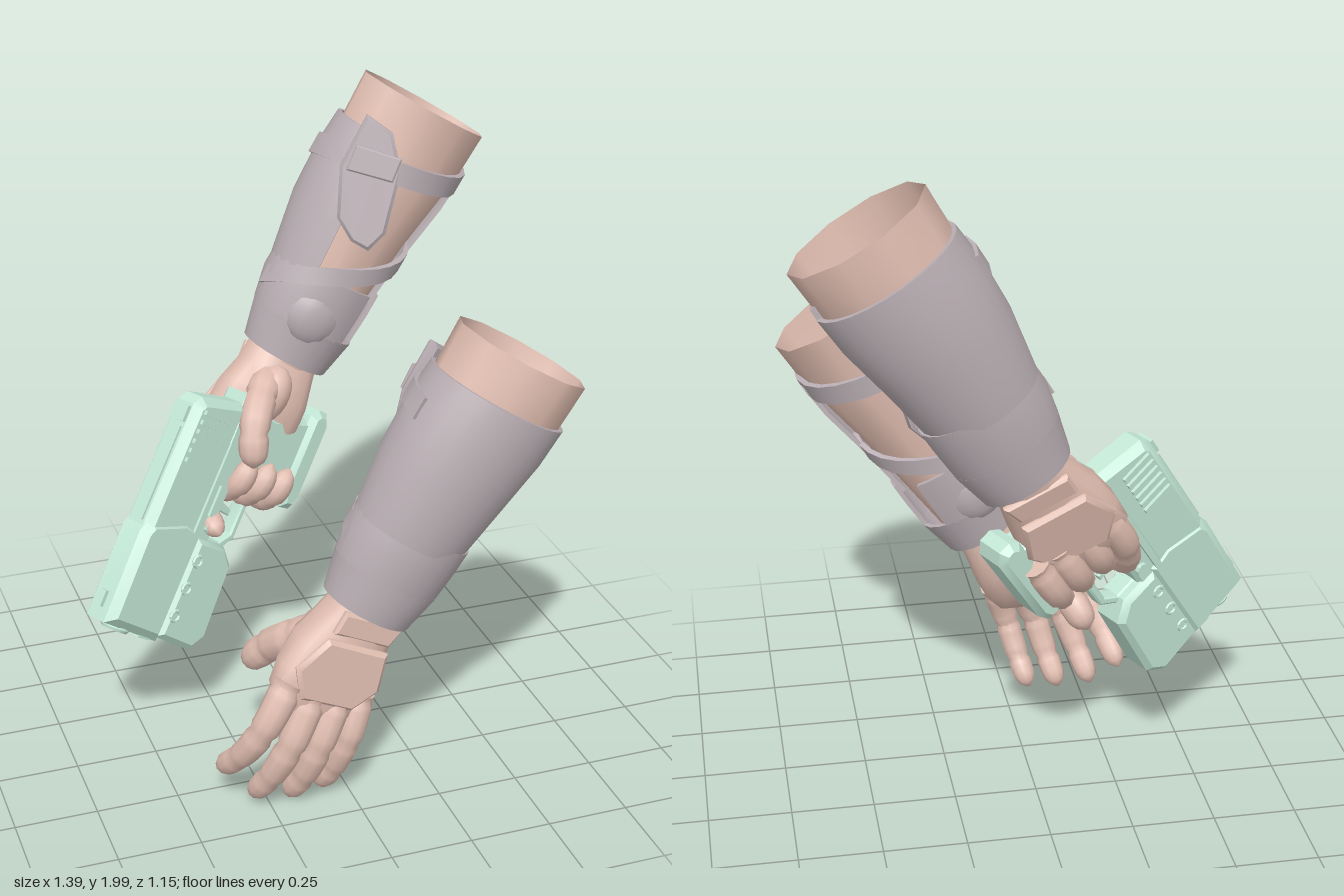
import * as THREE from 'three';
import { toCreasedNormals } from 'three/addons/utils/BufferGeometryUtils.js';

const V = (x, y, z) => new THREE.Vector3(x, y, z);
const TILT = -0.547; // both arms lean the same way
const DEG = Math.PI / 180;

// Unindex, optionally mirror in z, orient outwards, and keep hard edges sharp
function finish(source, side = 1, crease = 0.7) {
  const geo = source.index ? source.toNonIndexed() : source;
  geo.deleteAttribute('uv');
  geo.deleteAttribute('normal');
  geo.clearGroups();
  geo.scale(1, 1, side);
  const p = geo.attributes.position;
  const a = V(), b = V(), c = V();
  let volume = 0;
  for (let i = 0; i < p.count; i += 3) {
    a.fromBufferAttribute(p, i); b.fromBufferAttribute(p, i + 1); c.fromBufferAttribute(p, i + 2);
    volume += a.dot(b.cross(c));
  }
  if (volume < 0) for (let i = 0; i < p.count; i += 3) {
    b.fromBufferAttribute(p, i + 1); c.fromBufferAttribute(p, i + 2);
    p.setXYZ(i + 1, c.x, c.y, c.z);
    p.setXYZ(i + 2, b.x, b.y, b.z);
  }
  return toCreasedNormals(geo, crease);
}

// Skin closed loops of points; the ends are closed by strips from side to side
function loft(rings, capStart = true, capEnd = true) {
  const n = rings[0].length, pos = [], idx = [];
  rings.forEach(r => r.forEach(v => pos.push(v.x, v.y, v.z)));
  for (let i = 0; i < rings.length - 1; i++) for (let j = 0; j < n; j++) {
    const a = i * n + j, b = i * n + (j + 1) % n;
    idx.push(a, b, a + n, b, b + n, a + n);
  }
  const cap = (row, flip) => {
    for (let j = 0; j < n / 2 - 1; j++) {
      const [a, b, c, d] = [j, j + 1, n - 2 - j, n - 1 - j].map(k => row * n + k);
      flip ? idx.push(a, c, b, a, d, c) : idx.push(a, b, c, a, c, d);
    }
  };
  if (capStart) cap(0, true);
  if (capEnd) cap(rings.length - 1, false);
  const geo = new THREE.BufferGeometry();
  geo.setAttribute('position', new THREE.Float32BufferAttribute(pos, 3));
  geo.setIndex(idx);
  return geo;
}

// Arm section [t, cu, cw, ru, rw]: t runs down the arm, angle 0 faces outwards
function onSection([t, cu, cw, ru, rw], angle, grow = 0, power = 1) {
  const f = v => Math.sign(v) * Math.abs(v) ** power;
  return V(cu + (ru + grow) * f(Math.sin(angle)), -t, cw + (rw + grow) * f(Math.cos(angle)));
}
const sleeve = (sections, n, power, capStart, capEnd) => loft(sections.map(s =>
  Array.from({ length: n }, (_, i) => onSection(s, (i + 0.5) / n * Math.PI * 2, 0, power))), capStart, capEnd);

// Thick plate bent around the arm between two angles
function shell(sections, from, to, n = 18, thick = 0.014) {
  const angles = Array.from({ length: n + 1 }, (_, i) => (from + (to - from) * i / n) * DEG);
  return loft(sections.map(s => [
    ...angles.map(a => onSection(s, a)),
    ...angles.slice().reverse().map(a => onSection(s, a, -thick))]));
}

// Band running around the arm while sliding down it
function strap([t0, t1], [a0, a1], [cu, cw, ru, rw], width, n = 12) {
  return loft(Array.from({ length: n + 1 }, (_, i) => {
    const k = i / n, a = (a0 + (a1 - a0) * k) * DEG, t = t0 + (t1 - t0) * k;
    return [[-width, 0], [width, 0], [width, -0.016], [-width, -0.016]]
      .map(([d, g]) => onSection([t + d, cu, cw, ru, rw], a, g));
  }));
}

// Finger from [u, t, w] points, with swollen joints and a rounded tip
function finger(points, r0, r1) {
  const curve = new THREE.CatmullRomCurve3(points.map(([u, t, w]) => V(u, -t, w)));
  const n = 22, frames = curve.computeFrenetFrames(n);
  return loft(Array.from({ length: n + 1 }, (_, i) => {
    const k = i / n, c = curve.getPointAt(k);
    const joint = [0.06, 0.42, 0.72].some(j => Math.abs(k - j) < 0.03) ? 0.9 : 1.04;
    const tip = Math.sqrt(Math.max(0.02, 1 - Math.max(0, (k - 0.86) / 0.14) ** 2));
    const r = (r0 + (r1 - r0) * k) * joint * tip;
    return Array.from({ length: 10 }, (_, j) => {
      const a = j / 10 * Math.PI * 2;
      return c.clone().addScaledVector(frames.normals[i], r * Math.cos(a))
        .addScaledVector(frames.binormals[i], r * Math.sin(a));
    });
  }));
}

// Ellipsoid at [u, t, w]
const blob = ([u, t, w], ru, rt, rw) => new THREE.SphereGeometry(1, 14, 10).scale(ru, rt, rw).translate(u, -t, w);

// Bevelled slab from an outline, centred on z
function slab(points, half, bevel, hole) {
  const shape = new THREE.Shape(points.map(([x, y]) => new THREE.Vector2(x, y)));
  if (hole) shape.holes.push(new THREE.Path(hole.map(([x, y]) => new THREE.Vector2(x, y))));
  const geo = new THREE.ExtrudeGeometry(shape, {
    depth: 2 * (half - bevel), bevelEnabled: bevel > 0, bevelThickness: bevel,
    bevelSize: bevel, bevelOffset: -bevel, bevelSegments: 1, curveSegments: 6 });
  return geo.translate(0, 0, -(half - bevel));
}

export function createModel() {
  const make = (name, color) => {
    const m = new THREE.MeshStandardMaterial({ color, side: THREE.DoubleSide });
    m.name = name;
    return m;
  };
  const skin = make('skin', 0xe1beb1), grey = make('armourGrey', 0xb9aeb3), green = make('pistolGreen', 0xc2e6d5);
  const model = new THREE.Group();
  model.name = 'armsWithPistol';

  const OPEN = [
    [[-0.125, 1.16, 0.035], [-0.125, 1.3, 0.05], [-0.11, 1.43, 0], [-0.09, 1.55, -0.11]],
    [[-0.04, 1.17, 0.04], [-0.025, 1.33, 0.06], [0, 1.47, 0.015], [0.024, 1.575, -0.06]],
    [[0.04, 1.15, 0.04], [0.06, 1.3, 0.06], [0.095, 1.43, 0.02], [0.12, 1.53, -0.045]],
    [[0.11, 1.12, 0.03], [0.14, 1.25, 0.05], [0.175, 1.37, 0.01], [0.2, 1.468, -0.05]],
    [[-0.03, 0.97, -0.02], [-0.085, 1.08, -0.12], [-0.1, 1.16, -0.2], [-0.1, 1.27, -0.275]]];
  const curl = (u, c) => [[u, 1.13, c + 0.1], [u, 1.25, c + 0.075], [u, 1.315, c - 0.01], [u, 1.26, c - 0.1], [u, 1.17, c - 0.1]];
  const GRIP = [
    [[-0.11, 1.13, -0.05], [-0.115, 1.27, -0.09], [-0.08, 1.38, -0.19], [-0.045, 1.41, -0.335]],
    curl(-0.03, -0.15), curl(0.05, -0.125), curl(0.125, -0.1),
    [[-0.01, 0.94, -0.04], [-0.07, 0.99, -0.16], [-0.08, 1.08, -0.25], [-0.03, 1.19, -0.28]]];

  // flex bends the hand inwards at the wrist
  function buildArm(name, side, y, fingers, flex, thumbRadius, thumbBase) {
    const arm = new THREE.Group();
    arm.name = name;
    arm.position.set(0.51, y, side * 0.39);
    arm.rotation.z = TILT;
    const add = (part, geo, mat, crease) => {
      const mesh = new THREE.Mesh(finish(geo, side, crease), mat);
      mesh.name = part;
      arm.add(mesh);
    };
    const bend = geo => geo.translate(0, 0.9, 0).rotateX(flex).translate(0, -0.9, 0);
    // Forearm, open at the top
    add('forearm', sleeve([[0, 0, 0, 0.218, 0.175], [0.15, 0, 0, 0.212, 0.172], [0.4, -0.015, 0, 0.185, 0.158],
      [0.62, -0.005, -0.015, 0.145, 0.13], [0.92, 0, -0.02, 0.105, 0.09]], 10, 1, false, true), skin, 0.9);
    // Forearm armour and wrist cuff
    add('bracer', shell([[0.14, 0, 0, 0.225, 0.187], [0.26, -0.008, 0, 0.226, 0.187],
      [0.42, -0.018, -0.002, 0.208, 0.18], [0.62, -0.015, -0.01, 0.177, 0.158]], -150, 105), grey);
    add('wristCuff', shell([[0.585, -0.008, -0.012, 0.184, 0.162], [0.66, -0.01, -0.015, 0.185, 0.16],
      [0.76, -0.003, -0.018, 0.172, 0.146]], -215, 104, 22), grey);
    add('wristBand', shell([[0.755, -0.003, -0.018, 0.173, 0.147], [0.88, 0, -0.02, 0.144, 0.125]], -180, 180, 24), grey);
    add('wristPad', blob([-0.03, 0.71, -0.13], 0.09, 0.1, 0.05), grey);
    // Straps and the plate leaning against the inner side
    add('upperStrap', strap([0.14, 0.26], [80, 285], [-0.01, 0, 0.232, 0.205], 0.034), grey);
    add('lowerStrap', strap([0.41, 0.68], [85, 270], [-0.005, -0.012, 0.19, 0.172], 0.03), grey);
    const plate = slab([[-0.225, -0.1], [-0.13, -0.11], [-0.05, -0.2], [0, -0.38], [-0.02, -0.45],
      [-0.08, -0.45], [-0.15, -0.41], [-0.22, -0.27]], 0.02, 0.01);
    add('innerPlate', plate.rotateY(0.42).translate(0, 0, -0.205), grey);
    const buckle = slab([[-0.21, -0.19], [-0.07, -0.16], [-0.06, -0.235], [-0.2, -0.27]], 0.012, 0.005);
    add('buckle', buckle.rotateY(0.42).translate(-0.01, 0, -0.23), grey);
    // Hand
    add('palm', bend(sleeve([[0.84, 0, -0.015, 0.105, 0.085], [0.95, -0.005, -0.018, 0.125, 0.09],
      [1.03, -0.012, -0.014, 0.148, 0.095], [1.12, -0.015, 0, 0.158, 0.082],
      [1.19, -0.02, 0.02, 0.152, 0.06], [1.23, -0.025, 0.03, 0.11, 0.038]], 16, 0.75, true, true)), skin, 1);
    add('thumbBase', blob(thumbBase, 0.065, 0.1, 0.075), skin, 1);
    const back = slab([[-0.11, -0.98], [0.09, -0.96], [0.13, -1.08], [0.08, -1.165],
      [-0.09, -1.185], [-0.155, -1.1]], 0.016, 0.012);
    add('handBackPlate', bend(back.translate(0, 0, 0.073)), skin);
    const wrist = slab([[-0.1, -0.89], [0.1, -0.87], [0.085, -0.945], [-0.1, -0.965]], 0.014, 0.008);
    add('gloveCuffPlate', bend(wrist.translate(0, 0, 0.06)), skin);
    const names = ['indexFinger', 'middleFinger', 'ringFinger', 'littleFinger', 'thumb'];
    const radii = [0.048, 0.048, 0.047, 0.043, thumbRadius];
    fingers.forEach((pts, i) => add(names[i], finger(pts, radii[i], i === 4 ? 0.042 : 0.034), skin, 0.9));
    model.add(arm);
  }
  buildArm('openHandArm', 1, 1.38, OPEN, 0, 0.068, [-0.06, 1.05, -0.08]);
  buildArm('pistolArm', -1, 1.885, GRIP, 0.33, 0.054, [-0.03, 1.0, -0.12]);

  // Pistol: x towards the muzzle, y up from the grip
  const gun = new THREE.Group();
  gun.name = 'pistol';
  const along = V(-0.52, -0.855, 0), down = V(0.855, -0.52, 0);
  const barrel = along.multiplyScalar(0.963).add(V(0, 0, 0.27)).normalize();
  const up = down.multiplyScalar(-0.93).add(V(0, 0, 0.37));
  up.addScaledVector(barrel, -up.dot(barrel)).normalize();
  gun.quaternion.setFromRotationMatrix(new THREE.Matrix4().makeBasis(barrel, up, barrel.clone().cross(up)));
  gun.position.set(-0.42, 0.775, -0.093);
  const piece = (name, geo, x = 0, y = 0, z = 0) => {
    const mesh = new THREE.Mesh(finish(geo, 1, 0.5), green);
    mesh.name = name;
    mesh.position.set(x, y, z);
    gun.add(mesh);
  };
  const box = (w, h, d) => new THREE.BoxGeometry(w, h, d);
  piece('slide', slab([[-0.375, 0.09], [-0.345, 0.112], [0.12, 0.112], [0.12, -0.1], [-0.41, -0.1]], 0.058, 0.025));
  piece('frontShroud', slab([[0.02, 0.1], [0.06, 0.12], [0.355, 0.112], [0.365, -0.13], [0.0, -0.13], [-0.02, -0.04]], 0.064, 0.026));
  piece('frame', slab([[-0.44, -0.08], [0.06, -0.08], [0.06, -0.17], [-0.38, -0.17]], 0.052, 0.012));
  piece('lowerFrontBlock', slab([[0.02, -0.11], [0.35, -0.11], [0.36, -0.27], [0.31, -0.315],
    [0.07, -0.3], [0.02, -0.24]], 0.066, 0.018));
  piece('triggerGuard', slab([[-0.2, -0.15], [0.04, -0.15], [0.04, -0.25], [-0.01, -0.3], [-0.12, -0.3], [-0.2, -0.26]],
    0.025, 0.006, [[-0.17, -0.17], [-0.17, -0.25], [-0.11, -0.275], [-0.02, -0.275], [0.015, -0.24], [0.015, -0.17]]));
  piece('trigger', slab([[-0.12, -0.15], [-0.08, -0.15], [-0.07, -0.25], [-0.09, -0.25]], 0.012, 0.003));
  piece('grip', slab([[-0.43, -0.12], [-0.18, -0.12], [-0.19, -0.25], [-0.2, -0.42], [-0.45, -0.42], [-0.41, -0.24]], 0.052, 0.02));
  piece('gripButt', slab([[-0.46, -0.385], [-0.2, -0.385], [-0.155, -0.41], [-0.16, -0.455],
    [-0.2, -0.475], [-0.45, -0.475], [-0.485, -0.45], [-0.485, -0.41]], 0.068, 0.02));
  // Muzzle and sights
  piece('muzzleRing', new THREE.TorusGeometry(0.036, 0.01, 6, 16).rotateY(Math.PI / 2), 0.362, 0.02, 0);
  piece('muzzleSlot', box(0.02, 0.05, 0.08), 0.358, -0.075, 0);
  piece('rearSight', box(0.05, 0.024, 0.06), -0.31, 0.112, 0);
  piece('topRail', box(0.3, 0.014, 0.05), -0.12, 0.112, 0);
  piece('frontSight', box(0.05, 0.02, 0.025), 0.29, 0.116, 0);
  for (const s of [-1, 1]) {
    // Side serrations, rails, bolts and slide catch
    for (let i = 0; i < 6; i++) piece('serration', box(0.014, 0.11, 0.018), -0.335 + i * 0.03, 0.025, s * 0.06);
    piece('sideRail', box(0.3, 0.022, 0.016), -0.13, -0.09, s * 0.056);
    piece('slideCatch', box(0.1, 0.025, 0.014), -0.1, -0.125, s * 0.056);
    for (let i = 0; i < 3; i++) piece('bolt', new THREE.TorusGeometry(0.017, 0.006, 6, 10), 0.09 + i * 0.09, -0.14, s * 0.066);
    piece('pivotPin', new THREE.CylinderGeometry(0.022, 0.022, 0.02, 10).rotateX(Math.PI / 2), -0.02, -0.14, s * 0.056);
  }
  model.add(gun);
  return model;
}
